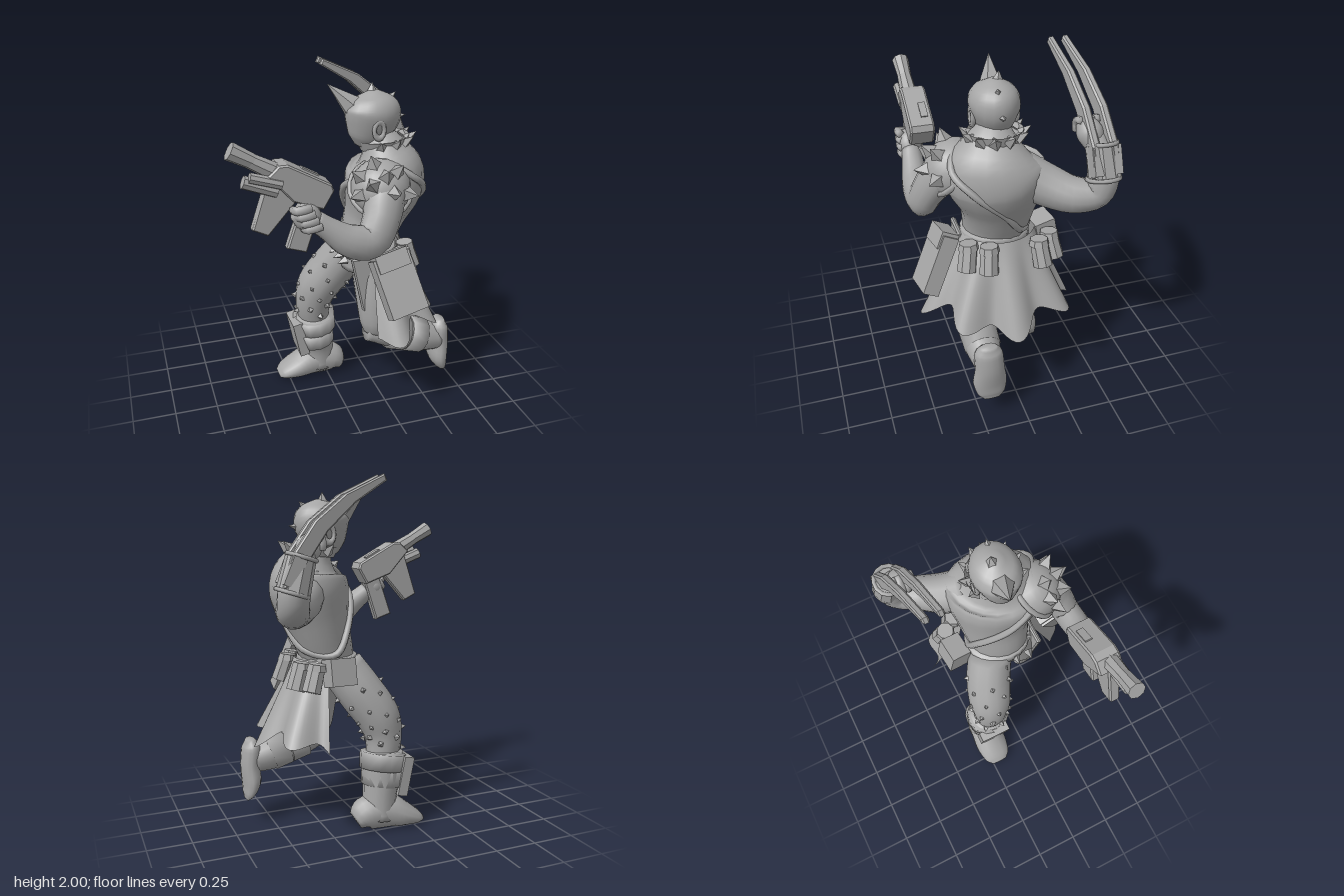
import * as THREE from 'three';

const V = (x, y, z) => new THREE.Vector3(x, y, z);

export function createModel() {
  const root = new THREE.Group();
  const grey = new THREE.MeshStandardMaterial({ color: 0xa6a6a6, side: THREE.DoubleSide });
  grey.name = 'grey clay';

  const add = (name, geo) => {
    const m = new THREE.Mesh(geo, grey);
    m.name = name;
    root.add(m);
    return m;
  };
  const faceted = (g) => {
    const n = g.index ? g.toNonIndexed() : g;
    n.computeVertexNormals();
    return n;
  };

  // Smooth capped body through stations [x, y, z, ra, rb]; rb runs roughly along ref
  function loft(name, st, ref = V(0, 0, 1), sides = 14, per = 4) {
    const path = new THREE.CatmullRomCurve3(st.map((s) => V(s[0], s[1], s[2])));
    const rad = new THREE.CatmullRomCurve3(st.map((s) => V(s[3], s[4] ?? s[3], 0)), false, 'catmullrom', 0.5);
    const n = (st.length - 1) * per, pos = [], idx = [];
    for (let i = 0; i <= n; i++) {
      const p = path.getPoint(i / n), t = path.getTangent(i / n), r = rad.getPoint(i / n);
      const a = ref.clone().cross(t).normalize(), b = t.clone().cross(a);
      for (let j = 0; j < sides; j++) {
        const q = (j / sides) * Math.PI * 2;
        const v = p.clone().addScaledVector(a, Math.cos(q) * r.x).addScaledVector(b, Math.sin(q) * r.y);
        pos.push(v.x, Math.max(0, v.y), v.z);
      }
    }
    const c0 = pos.length / 3;
    pos.push(...path.getPoint(0).toArray(), ...path.getPoint(1).toArray());
    for (let j = 0; j < sides; j++) {
      const k = (j + 1) % sides;
      for (let i = 0; i < n; i++) {
        const A = i * sides + j, B = i * sides + k;
        idx.push(A, B, B + sides, A, B + sides, A + sides);
      }
      idx.push(c0, k, j, c0 + 1, n * sides + j, n * sides + k);
    }
    const g = new THREE.BufferGeometry();
    g.setAttribute('position', new THREE.Float32BufferAttribute(pos, 3));
    g.setIndex(idx);
    g.computeVertexNormals();
    return add(name, g);
  }
  // Cone with its base at p pointing along d
  function spike(name, p, d, r, h, sides = 4) {
    const dir = d.clone().normalize();
    const m = add(name, faceted(new THREE.ConeGeometry(r, h, sides)));
    m.position.copy(p).addScaledVector(dir, h * 0.45);
    m.quaternion.setFromUnitVectors(V(0, 1, 0), dir);
  }
  function box(name, size, p, rot = [0, 0, 0]) {
    const m = add(name, new THREE.BoxGeometry(...size));
    m.position.set(...p);
    m.rotation.set(...rot);
  }
  // Side outline in x and y, given a thickness along z
  function plate(name, pts, z, depth) {
    const g = new THREE.ExtrudeGeometry(new THREE.Shape(pts.map((p) => new THREE.Vector2(...p))), {
      depth: depth - 0.02, bevelThickness: 0.01, bevelSize: 0.008, bevelSegments: 1,
    });
    const m = add(name, g);
    m.position.z = z - depth / 2 + 0.01;
    return m;
  }
  function rod(name, a, b, r0, r1, sides = 8) {
    const m = add(name, faceted(new THREE.CylinderGeometry(r1, r0, a.distanceTo(b), sides)));
    m.position.copy(a).lerp(b, 0.5);
    m.quaternion.setFromUnitVectors(V(0, 1, 0), b.clone().sub(a).normalize());
  }

  // Torso, turned towards the front arm
  loft('torso', [
    [0.18, 0.86, 0.04, 0.15, 0.17], [0.18, 1.0, 0.04, 0.155, 0.18], [0.23, 1.18, 0.04, 0.18, 0.212],
    [0.27, 1.36, 0.065, 0.225, 0.275], [0.28, 1.46, 0.085, 0.205, 0.26], [0.26, 1.555, 0.075, 0.135, 0.165],
    [0.22, 1.65, 0.05, 0.08, 0.075]], V(-0.4, 0, 0.9), 20);

  // Head, ears, crest horn and collar
  loft('head', [
    [0.15, 1.575, 0.048, 0.05, 0.045], [0.165, 1.62, 0.048, 0.105, 0.083], [0.19, 1.7, 0.048, 0.147, 0.118],
    [0.205, 1.77, 0.048, 0.158, 0.133], [0.207, 1.835, 0.048, 0.122, 0.103], [0.205, 1.88, 0.048, 0.03, 0.03]], V(0, 0, 1), 18);
  spike('crestHorn', V(0.11, 1.785, 0.035), V(-0.145, 0.13, -0.03), 0.078, 0.22, 6);
  for (const s of [-1, 1]) {
    const ear = add('ear', new THREE.TorusGeometry(0.032, 0.014, 6, 12));
    ear.position.set(0.2, 1.69, 0.048 + s * 0.118);
    ear.scale.set(0.9, 1.4, 1);
  }
  spike('headStud', V(0.2, 1.86, 0.03), V(0.1, 1, -0.1), 0.04, 0.065, 5);
  spike('headStud', V(0.29, 1.83, 0.06), V(0.6, 0.6, 0), 0.03, 0.06);
  spike('headStud', V(0.34, 1.73, 0.05), V(1, 0.1, 0), 0.025, 0.06);
  const collar = add('collar', new THREE.CylinderGeometry(0.15, 0.13, 0.06, 16, 1, true));
  collar.position.set(0.26, 1.6, 0.06);
  collar.rotation.z = 0.1;
  for (let i = 0; i < 8; i++) {
    const q = (i / 7 - 0.5) * 3.9, c = Math.cos(q), s = Math.sin(q);
    spike('collarSpike', V(0.26 + c * 0.135, 1.6 + c * 0.013, 0.06 + s * 0.135), V(c, 0.8, s), 0.036, 0.07);
  }

  // Front arm, fist and fingers
  loft('leftArm', [
    [0.22, 1.46, 0.22, 0.09], [0.18, 1.385, 0.31, 0.115], [0.14, 1.28, 0.385, 0.105, 0.09], [0.07, 1.17, 0.422, 0.1, 0.08],
    [-0.05, 1.19, 0.428, 0.09, 0.077], [-0.16, 1.265, 0.418, 0.064], [-0.24, 1.325, 0.41, 0.055]]);
  loft('leftFist', [[-0.22, 1.3, 0.41, 0.05], [-0.28, 1.35, 0.41, 0.075, 0.07], [-0.33, 1.385, 0.4, 0.05]]);
  for (let i = 0; i < 4; i++) {
    const x = -0.335 + i * 0.018, y = 1.4 - i * 0.035;
    loft('leftFinger', [[x + 0.07, y + 0.01, 0.46, 0.022], [x, y, 0.465, 0.024], [x - 0.015, y - 0.01, 0.41, 0.02]], V(0, 1, 0), 7, 2);
  }

  // Raised arm, bracer and fist
  const up = V(1, 0.2, 0.2).normalize();
  loft('rightArm', [
    [0.33, 1.42, -0.03, 0.12], [0.4, 1.345, -0.17, 0.115], [0.485, 1.31, -0.3, 0.098], [0.525, 1.33, -0.41, 0.083],
    [0.525, 1.43, -0.435, 0.083], [0.485, 1.55, -0.42, 0.065], [0.45, 1.61, -0.4, 0.055]], up);
  loft('rightFist', [[0.47, 1.57, -0.4, 0.05], [0.435, 1.63, -0.385, 0.07], [0.4, 1.68, -0.37, 0.05]]);
  for (let i = 0; i < 4; i++) {
    const z = -0.425 + i * 0.03;
    loft('rightFinger', [[0.43, 1.7, z, 0.02], [0.375, 1.675, z, 0.022], [0.375, 1.62, z, 0.02]], V(0, 0, 1), 7, 2);
  }
  rod('bracer', V(0.535, 1.41, -0.44), V(0.485, 1.59, -0.425), 0.088, 0.078, 10);
  for (const [a, b, r] of [[0.537, 1.415, 0.085], [0.485, 1.59, 0.077]]) {
    const ring = add('bracerRim', new THREE.TorusGeometry(r, 0.012, 6, 14));
    ring.position.set(a, b, -0.433);
    ring.rotation.set(Math.PI / 2, 0.3, 0);
  }

  // Twin curved claw blades, bent sideways along their length
  const outline = [[0.59, 1.45], [0.54, 1.6], [0.42, 1.76], [0.25, 1.89], [0.03, 1.99], [0.02, 1.97], [0.2, 1.86], [0.36, 1.72], [0.47, 1.57], [0.53, 1.43]];
  for (const [z0, z1] of [[-0.385, -0.312], [-0.485, -0.39]]) {
    const blade = plate('clawBlade', outline, 0, 0.045).geometry;
    const p = blade.attributes.position;
    for (let i = 0; i < p.count; i++) {
      const k = THREE.MathUtils.clamp((0.6 - p.getX(i)) / 0.58, 0, 1);
      p.setZ(i, p.getZ(i) * (1 - 0.2 * k) + z0 + (z1 - z0) * k);
    }
    blade.computeVertexNormals();
    box('bladeMount', [0.07, 0.15, 0.05], [0.54, 1.52, z0], [0, 0, 0.4]);
  }

  // Spiked shoulder guard with rim
  const guard = add('shoulderGuard', new THREE.SphereGeometry(0.165, 16, 8, 0, Math.PI * 2, 0, Math.PI / 2));
  guard.position.set(0.18, 1.395, 0.255);
  guard.rotation.set(0.85, 0, 0.15);
  const rim = add('shoulderRim', new THREE.TorusGeometry(0.165, 0.017, 6, 20));
  rim.position.copy(guard.position);
  rim.rotation.set(0.85 + Math.PI / 2, 0.15, 0);
  for (const d of [[-0.85, 0.6, 0.25], [-0.35, 0.9, 0.25], [0.3, 0.7, 0.6], [-0.55, 0.4, 0.75], [0.1, 0.15, 1], [-0.9, 0, 0.45],
    [0.65, 0, 0.75], [-0.1, 0.65, 0.75]]) {
    const dir = V(...d).normalize();
    spike('shoulderSpike', guard.position.clone().addScaledVector(dir, 0.145), dir, 0.055, 0.09);
  }

  // Strap wound round the torso: [y, angle, cx, cz, ra, rb]
  const sash = new THREE.CatmullRomCurve3([[1.54, 1.57, 0.26, 0.065, 0.16, 0.2], [1.46, 0.75, 0.28, 0.085, 0.21, 0.265],
    [1.36, 0.25, 0.27, 0.065, 0.23, 0.28], [1.2, -0.3, 0.235, 0.04, 0.19, 0.225], [1.06, -0.9, 0.2, 0.04, 0.17, 0.195],
    [1.03, -2, 0.19, 0.04, 0.168, 0.192], [1.17, -2.7, 0.225, 0.04, 0.185, 0.22], [1.36, -3.5, 0.27, 0.065, 0.23, 0.28],
    [1.47, -4.1, 0.28, 0.085, 0.205, 0.26]].map(([y, q, cx, cz, ra, rb]) => V(
    cx + 0.914 * ra * Math.cos(q) - 0.406 * rb * Math.sin(q), y, cz + 0.406 * ra * Math.cos(q) + 0.914 * rb * Math.sin(q))), true);
  add('chestStrap', new THREE.TubeGeometry(sash, 60, 0.02, 6, true));

  // Gun
  plate('gunBody', [[-0.46, 1.575], [-0.41, 1.62], [-0.37, 1.62], [-0.15, 1.5], [-0.14, 1.47], [-0.19, 1.385], [-0.34, 1.44]], 0.355, 0.14);
  plate('gunMagazine', [[-0.455, 1.575], [-0.545, 1.3], [-0.475, 1.265], [-0.32, 1.44]], 0.37, 0.06);
  plate('gunGrip', [[-0.37, 1.18], [-0.28, 1.15], [-0.2, 1.39], [-0.29, 1.41]], 0.375, 0.06);
  rod('gunBarrel', V(-0.4, 1.57, 0.37), V(-0.55, 1.655, 0.37), 0.05, 0.04);
  rod('gunMuzzle', V(-0.53, 1.645, 0.37), V(-0.645, 1.71, 0.37), 0.04, 0.048);
  rod('gunLowerBarrel', V(-0.42, 1.49, 0.39), V(-0.59, 1.555, 0.39), 0.035, 0.035);
  rod('gunSideBarrel', V(-0.4, 1.53, 0.41), V(-0.56, 1.58, 0.41), 0.028, 0.028);
  box('gunSight', [0.1, 0.03, 0.04], [-0.24, 1.55, 0.33], [0, 0, -0.5]);

  // Forward leg with studded thigh, cuffed boot and shin guard
  const thigh = [[0.12, 0.94, -0.04, 0.13], [0.03, 0.8, -0.1, 0.135], [-0.06, 0.66, -0.14, 0.13], [-0.092, 0.54, -0.155, 0.11], [-0.08, 0.4, -0.17, 0.09]];
  loft('rightThigh', thigh);
  const legPath = new THREE.CatmullRomCurve3(thigh.map((s) => V(s[0], s[1], s[2])));
  for (let i = 0; i < 34; i++) {
    const u = 0.2 + 0.68 * (i / 34), q = i * 2.4, t = legPath.getTangent(u);
    const a = V(0, 0, 1).cross(t).normalize(), d = a.clone().multiplyScalar(Math.cos(q)).addScaledVector(t.clone().cross(a), Math.sin(q));
    spike('thighStud', legPath.getPoint(u).addScaledVector(d, 0.138 - 0.035 * u), d, 0.02, 0.03);
  }
  loft('rightBoot', [[-0.08, 0.45, -0.165, 0.12], [-0.075, 0.32, -0.18, 0.118], [-0.055, 0.2, -0.195, 0.1], [-0.045, 0.06, -0.2, 0.1]]);
  loft('rightFoot', [[0.095, 0.055, -0.19, 0.05, 0.07], [0.04, 0.09, -0.195, 0.095, 0.092], [-0.08, 0.1, -0.2, 0.105, 0.1],
    [-0.19, 0.065, -0.205, 0.075, 0.105], [-0.28, 0.035, -0.205, 0.04, 0.085], [-0.315, 0.02, -0.205, 0.02, 0.05]]);
  for (const [y, r] of [[0.395, 0.135], [0.3, 0.126]]) loft('rightBootBand', [[-0.085, y + 0.045, -0.17, r], [-0.07, y - 0.05, -0.18, r - 0.006]], V(0, 0, 1), 12, 1);
  box('shinGuard', [0.06, 0.23, 0.19], [-0.185, 0.31, -0.185], [0, 0, 0.2]);

  // Trailing leg, bent back with the sole turned up
  loft('leftThigh', [[0.2, 0.92, 0.13, 0.14], [0.2, 0.72, 0.18, 0.125], [0.2, 0.56, 0.2, 0.105], [0.2, 0.49, 0.2, 0.08]]);
  loft('leftShin', [[0.13, 0.49, 0.2, 0.06], [0.23, 0.48, 0.2, 0.09], [0.36, 0.44, 0.2, 0.102], [0.48, 0.4, 0.2, 0.1], [0.6, 0.37, 0.2, 0.08]]);
  for (const [x, y] of [[0.33, 0.45], [0.44, 0.415]]) loft('leftBootBand', [[x - 0.05, y + 0.018, 0.2, 0.112], [x + 0.05, y - 0.018, 0.2, 0.107]], V(0, 0, 1), 12, 1);
  loft('leftFoot', [[0.61, 0.5, 0.2, 0.025, 0.045], [0.602, 0.45, 0.2, 0.055, 0.08], [0.612, 0.34, 0.195, 0.056, 0.085],
    [0.608, 0.24, 0.193, 0.054, 0.098], [0.628, 0.17, 0.19, 0.032, 0.08], [0.642, 0.138, 0.19, 0.01, 0.045]]);

  // Flared coat tails with deep folds and a ragged hem
  const cols = 60, rows = 8, pos = [], idx = [];
  for (let i = 0; i <= rows; i++) for (let j = 0; j <= cols; j++) {
    const v = i / rows, q = THREE.MathUtils.lerp(-1.2, 1.7, j / cols), fold = Math.sin(q * 9 + 1.6) * 0.05 * v;
    const r = 0.195 + 0.205 * v + fold;
    pos.push(0.18 + r * Math.cos(q), 1.0 - v * (0.44 + 0.04 * Math.cos(q * 4 - 0.8)) - fold * 0.6, 0.02 + r * 1.08 * Math.sin(q));
    if (i < rows && j < cols) {
      const a = i * (cols + 1) + j, b = a + cols + 1;
      idx.push(a, a + 1, b, b, a + 1, b + 1);
    }
  }
  const tails = new THREE.BufferGeometry();
  tails.setAttribute('position', new THREE.Float32BufferAttribute(pos, 3));
  tails.setIndex(idx);
  tails.computeVertexNormals();
  add('coatTails', tails);

  // Belt, pouches and hip cases
  loft('belt', [[0.18, 1.01, 0.04, 0.17, 0.195], [0.18, 0.95, 0.04, 0.175, 0.2]], V(0, 0, 1), 20, 1);
  for (const [x, z] of [[0.33, 0.23], [0.39, 0.13], [0.4, -0.15], [0.34, -0.23]]) {
    rod('pouch', V(x + 0.04, 0.855, z * 1.1), V(x, 0.98, z), 0.055, 0.05, 8);
    rod('pouchLid', V(x, 0.97, z), V(x - 0.005, 1.005, z), 0.058, 0.05, 8);
  }
  box('rightHipPouch', [0.15, 0.15, 0.12], [0.21, 0.95, -0.235], [0.2, 0.1, 0]);
  box('hipCase', [0.22, 0.34, 0.09], [0.245, 0.875, 0.4], [-0.45, 0, 0.22]);
  box('hipCaseLid', [0.19, 0.1, 0.1], [0.215, 1.0, 0.345], [-0.45, 0, 0.22]);
  plate('frontCloth', [[0.03, 0.98], [0.2, 0.98], [0.24, 0.68], [0.17, 0.56], [0.1, 0.66]], 0.24, 0.03);
  for (let i = 0; i < 4; i++) spike('beltSpike', V(0.02, 0.95, -0.08 + i * 0.08), V(-1, -0.3, 0), 0.03, 0.06);

  return root;
}
